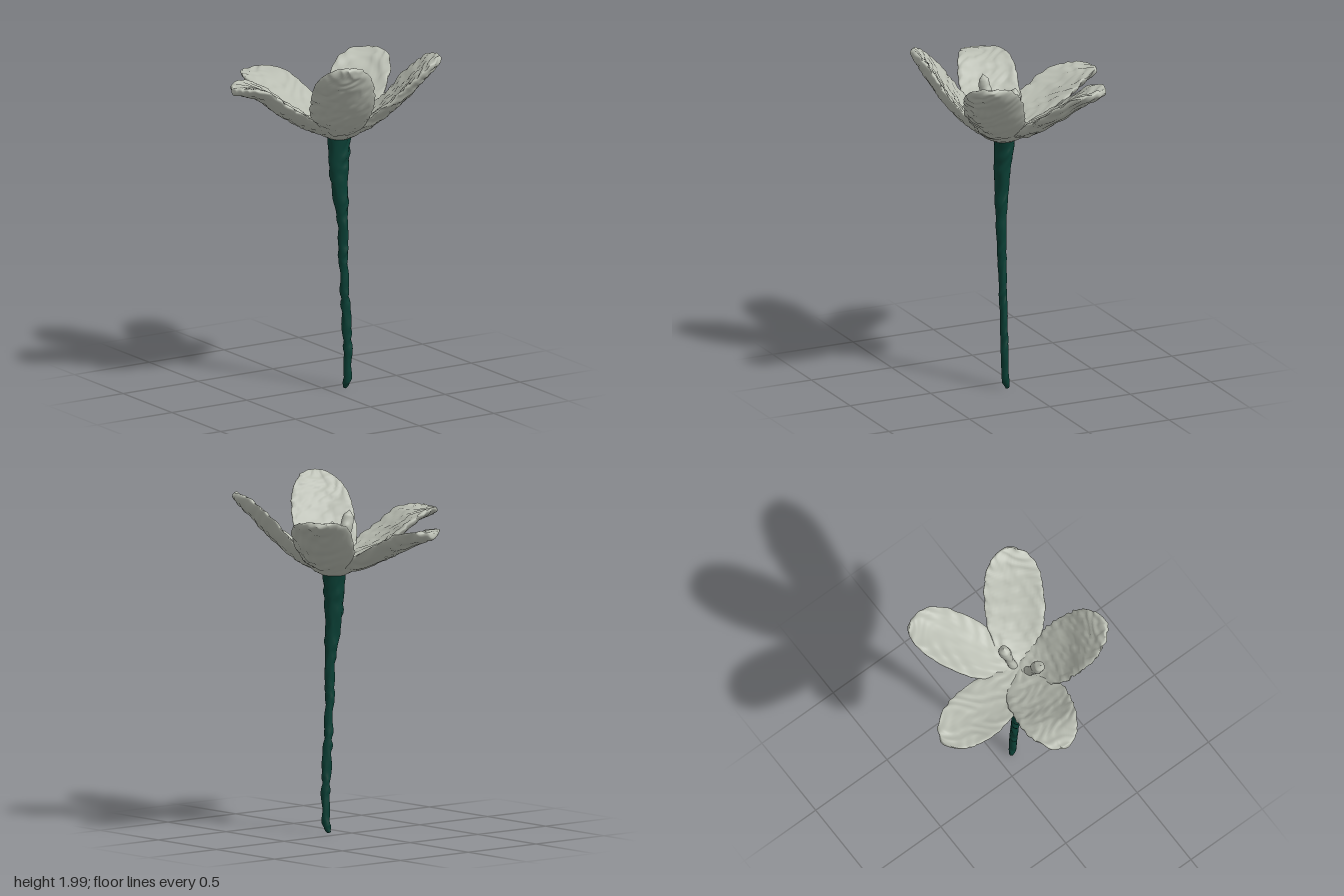
import * as THREE from 'three';

const V = (p) => new THREE.Vector3(...p);

// Smooth irregularity for a hand-modelled surface
const ripple = (p, seed) =>
  Math.sin(p.x * 57 + seed + 2 * Math.sin(p.z * 31 + p.y * 17)) *
  Math.sin(p.z * 61 + p.y * 38 + seed * 2 + 2 * Math.sin(p.x * 29 - p.y * 23));

// Linear lookup in an evenly spaced list
function sample(list, t) {
  const f = t * (list.length - 1);
  const i = Math.min(Math.floor(f), list.length - 2);
  return THREE.MathUtils.lerp(list[i], list[i + 1], f - i);
}

// Sweeps an elliptical section along a path; cup lifts the two long edges
function sweep(points, { rings, sides, ref, width, thick, cup = () => 0, ease = (u) => u, rough, seed }) {
  const curve = new THREE.CatmullRomCurve3(points.map(V));
  const pos = [], index = [];
  for (let i = 0; i <= rings; i++) {
    const t = ease(i / rings);
    const c = curve.getPoint(t), T = curve.getTangent(t);
    const S = T.clone().cross(ref).normalize();
    const N = S.clone().cross(T);
    for (let j = 0; j < sides; j++) {
      const a = (j / sides) * Math.PI * 2;
      const p = c.clone()
        .addScaledVector(S, Math.cos(a) * width(t))
        .addScaledVector(N, Math.sin(a) * thick(t) + cup(t) * Math.cos(a) ** 2);
      const fade = i === rings ? 0 : Math.min(1, width(t) / 0.03);
      p.addScaledVector(N, ripple(p, seed) * rough * fade);
      p.addScaledVector(S, ripple(p, seed + 3) * rough * fade);
      pos.push(p.x, p.y, p.z);
      if (i < rings) {
        const k = (j + 1) % sides, r = i * sides, q = r + sides;
        index.push(r + j, q + j, r + k, r + k, q + j, q + k);
      }
    }
  }
  const g = new THREE.BufferGeometry();
  g.setAttribute('position', new THREE.Float32BufferAttribute(pos, 3));
  g.setIndex(index);
  g.computeVertexNormals();
  return g;
}

export function createModel() {
  const flower = new THREE.Group();
  flower.name = 'flower';
  const petalGrey = new THREE.MeshStandardMaterial({ name: 'petalGrey', color: 0xb9bdb2 });
  const stemGreen = new THREE.MeshStandardMaterial({ name: 'stemGreen', color: 0x0a3f35 });
  const add = (name, geometry, material) => {
    const m = new THREE.Mesh(geometry, material);
    m.name = name;
    flower.add(m);
  };
  const up = new THREE.Vector3(0, 1, 0), front = new THREE.Vector3(0, 0, 1);

  // Petals: half width, then centre line from root to tip
  const petals = [
    ['backPetal', 0.163, [[0.05, 1.49, 0.06], [-0.01, 1.54, -0.1], [-0.065, 1.62, -0.27], [-0.1, 1.7, -0.44], [-0.11, 1.735, -0.572]]],
    ['rightPetal', 0.17, [[0.05, 1.49, 0.08], [-0.1, 1.54, 0.05], [-0.26, 1.635, 0.015], [-0.42, 1.755, -0.025], [-0.567, 1.785, -0.04]]],
    ['backLeftPetal', 0.17, [[0.08, 1.49, 0.07], [0.2, 1.54, -0.025], [0.33, 1.645, -0.135], [0.445, 1.76, -0.24], [0.535, 1.82, -0.325]]],
    ['frontLeftPetal', 0.17, [[0.08, 1.49, 0.09], [0.2, 1.55, 0.175], [0.33, 1.68, 0.265], [0.455, 1.83, 0.335], [0.545, 1.925, 0.38]]],
    ['frontPetal', 0.18, [[0.05, 1.49, 0.1], [-0.02, 1.55, 0.22], [-0.08, 1.68, 0.34], [-0.135, 1.85, 0.45], [-0.17, 1.98, 0.535]]],
  ];
  const tip = (t) => Math.sqrt(Math.max(0, 1 - Math.max(0, (t - 0.55) / 0.45) ** 2));
  const spread = (t) => 0.4 + 0.6 * Math.sin((Math.PI / 2) * Math.min(1, t / 0.5));
  petals.forEach(([name, w, path], i) => add(name, sweep(path, {
    rings: 56, sides: 48, ref: up, seed: i * 1.7, rough: 0.006,
    ease: (u) => Math.sin((u * Math.PI) / 2),
    width: (t) => w * spread(t) * tip(t),
    thick: (t) => 0.031 * tip(t) ** 0.4,
    cup: (t) => 0.042 * tip(t) * Math.min(1, t * 3),
  }), petalGrey));

  // Cup joining the petal roots
  const cup = new THREE.LatheGeometry([
    [0, 1.455], [0.065, 1.458], [0.11, 1.48], [0.15, 1.515], [0.165, 1.54],
    [0.145, 1.55], [0.1, 1.535], [0.05, 1.525], [0, 1.52],
  ].map(([x, y]) => new THREE.Vector2(x, y)), 40);
  cup.translate(0.065, 0, 0.08);
  add('flowerCup', cup, petalGrey);

  // Two stamens with thickened blunt heads
  const heads = [0.03, 0.028, 0.026, 0.026, 0.028, 0.033, 0.037, 0.037, 0.032, 0];
  [
    ['leftStamen', [[0.085, 1.5, 0.07], [0.1, 1.6, 0.055], [0.113, 1.69, 0.04], [0.12, 1.77, 0.03]]],
    ['rightStamen', [[0.01, 1.5, 0.115], [-0.03, 1.6, 0.12], [-0.065, 1.71, 0.125], [-0.095, 1.805, 0.13]]],
  ].forEach(([name, path], i) => add(name, sweep(path, {
    rings: 36, sides: 20, ref: front, seed: i + 5, rough: 0.003,
    width: (t) => sample(heads, t), thick: (t) => sample(heads, t) * 0.85,
  }), petalGrey));

  // Stem, tapering downwards
  const stemPath = [
    [0.068, 1.465, 0.075], [0.06, 1.25, 0.085], [0.075, 1.0, 0.097], [0.081, 0.8, 0.097], [0.09, 0.6, 0.095],
    [0.103, 0.4, 0.095], [0.114, 0.2, 0.094], [0.113, 0.04, 0.087], [0.105, 0, 0.073],
  ];
  const rx = [0.068, 0.056, 0.031, 0.027, 0.025, 0.026, 0.023, 0.021, 0.01];
  const rz = [0.058, 0.042, 0.031, 0.026, 0.023, 0.021, 0.022, 0.021, 0.01];
  const closed = (t) => (t > 0.995 ? 0 : 1);
  add('stem', sweep(stemPath, {
    rings: 100, sides: 24, ref: front, seed: 2, rough: 0.005,
    width: (t) => sample(rx, t) * closed(t),
    thick: (t) => sample(rz, t) * closed(t),
  }), stemGreen);

  return flower;
}
